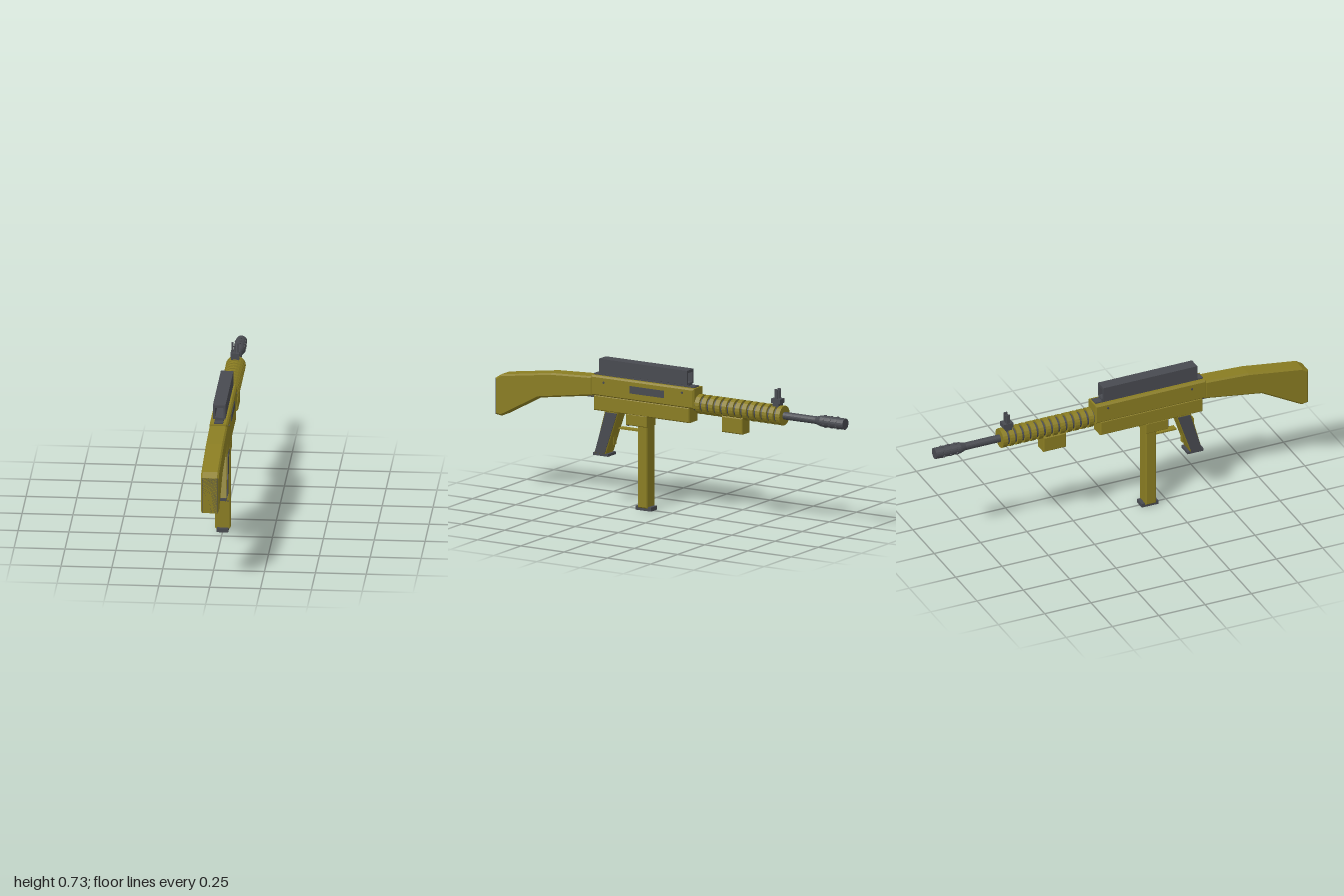
import * as THREE from 'three';

export function createModel() {
  const root = new THREE.Group();
  root.name = 'rifle';
  const olive = new THREE.MeshStandardMaterial({ color: 0x8a7d22, name: 'olive', flatShading: true });
  const steel = new THREE.MeshStandardMaterial({ color: 0x484a50, name: 'gunmetal', flatShading: true });

  function add(name, geometry, material, parent = root) {
    const mesh = new THREE.Mesh(geometry, material);
    mesh.name = name;
    parent.add(mesh);
    return mesh;
  }
  function group(name) {
    const g = new THREE.Group();
    g.name = name;
    root.add(g);
    return g;
  }
  // Box given by its limits on each axis
  function box(name, material, [x0, x1], [y0, y1], [z0, z1], parent) {
    const m = add(name, new THREE.BoxGeometry(x1 - x0, y1 - y0, z1 - z0), material, parent);
    m.position.set((x0 + x1) / 2, (y0 + y1) / 2, (z0 + z1) / 2);
    return m;
  }
  // Side profile in (z, y), extruded across x with chamfered edges
  function slab(name, material, points, halfWidth, bevel = 0.006, parent) {
    const shape = new THREE.Shape(points.map(([z, y]) => new THREE.Vector2(z, y)));
    const g = new THREE.ExtrudeGeometry(shape, {
      depth: 2 * (halfWidth - bevel), bevelEnabled: bevel > 0, bevelSize: bevel,
      bevelThickness: bevel, bevelOffset: -bevel, bevelSegments: 1,
    });
    g.translate(0, 0, -(halfWidth - bevel));
    g.rotateY(-Math.PI / 2);
    return add(name, g, material, parent);
  }
  const rect = (z0, z1, y0, y1) => [[z0, y0], [z1, y0], [z1, y1], [z0, y1]];
  // Round part along the bore, from z0 (rear) to z1 (muzzle side)
  const bore = 0.57;
  function round(name, material, z0, z1, r0, r1 = r0, parent) {
    const g = new THREE.CylinderGeometry(r0, r1, z0 - z1, 20);
    g.rotateX(Math.PI / 2);
    const m = add(name, g, material, parent);
    m.position.set(0, bore, (z0 + z1) / 2);
    return m;
  }

  // Stock and butt plate
  slab('stock', olive, [[1, 0.385], [1, 0.567], [0.967, 0.588], [0.677, 0.63], [0.44, 0.642],
    [0.44, 0.545], [0.75, 0.497], [0.965, 0.38]], 0.044, 0.008);
  box('buttPlate', steel, [-0.038, 0.038], [0.385, 0.566], [0.992, 1]);
  box('stockLatch', steel, [-0.025, 0.025], [0.535, 0.547], [0.42, 0.5]);

  // Receiver
  slab('upperReceiver', olive, rect(-0.15, 0.447, 0.548, 0.65), 0.045, 0.008);
  slab('lowerReceiver', olive, rect(-0.122, 0.43, 0.475, 0.552), 0.042, 0.005);
  slab('magazineWell', olive, rect(0.123, 0.245, 0.422, 0.48), 0.042, 0.004);
  box('ejectionPort', steel, [0.042, 0.047], [0.585, 0.622], [0.02, 0.22]);
  for (const side of [-1, 1]) {
    for (const [z, y] of [[0.37, 0.62], [-0.083, 0.625]]) {
      const pin = add('receiverPin', new THREE.CylinderGeometry(0.006, 0.006, 0.005, 8), steel);
      pin.rotation.z = Math.PI / 2;
      pin.position.set(side * 0.045, y, z);
    }
  }

  // Top rail with teeth, and the open channel above it
  const rail = group('topRail');
  box('railBase', steel, [-0.022, 0.022], [0.645, 0.656], [-0.14, 0.44], rail);
  for (let i = 0; i < 13; i++) {
    const z = -0.09 + i * 0.04;
    box('railTooth', steel, [-0.02, 0.02], [0.655, 0.667], [z - 0.014, z + 0.014], rail);
  }
  const channel = group('sightChannel');
  for (const side of [-1, 1]) {
    const x = side * 0.026;
    box('channelWall', steel, [x - 0.005, x + 0.005], [0.662, 0.734], [-0.102, 0.405], channel);
  }
  box('channelRoof', steel, [-0.031, 0.031], [0.72, 0.734], [-0.102, 0.405], channel);
  box('channelFloor', steel, [-0.022, 0.022], [0.662, 0.67], [-0.102, 0.405], channel);

  // Magazine
  slab('magazine', olive, rect(0.125, 0.18, 0.014, 0.43), 0.038, 0.005);
  box('magazineBase', steel, [-0.028, 0.028], [0, 0.02], [0.107, 0.197]);
  box('magazineHole', steel, [0.024, 0.028], [0.152, 0.162], [0.178, 0.182]);

  // Pistol grip with side panels
  slab('grip', olive, [[0.428, 0.258], [0.365, 0.258], [0.29, 0.48], [0.368, 0.48]], 0.039, 0.004);
  slab('gripPanels', steel, [[0.425, 0.262], [0.368, 0.262], [0.296, 0.472], [0.363, 0.472]], 0.042, 0);
  box('gripBase', steel, [-0.037, 0.037], [0.248, 0.261], [0.35, 0.437]);

  // Trigger and guard
  box('triggerGuard', olive, [-0.018, 0.018], [0.391, 0.398], [0.18, 0.3]);
  box('trigger', steel, [-0.006, 0.006], [0.41, 0.48], [0.25, 0.262]);
  box('gripFrontRib', olive, [-0.012, 0.012], [0.305, 0.39], [0.333, 0.337]);
  box('gripBackRib', olive, [-0.012, 0.012], [0.31, 0.43], [0.392, 0.396]);

  // Ringed handguard
  const handguard = group('handguard');
  round('handguardCore', steel, -0.14, -0.645, 0.038, 0.038, handguard);
  for (let i = 0; i < 13; i++) {
    const z = -0.157 - i * 0.0388;
    round('handguardRing', olive, z, z - 0.025, 0.049, 0.049, handguard);
  }
  slab('underBlock', olive, rect(-0.426, -0.305, 0.453, 0.535), 0.037, 0.005);

  // Barrel and muzzle brake
  round('barrel', steel, -0.63, -0.86, 0.019);
  const brake = group('muzzleBrake');
  round('brakeTaper', steel, -0.835, -0.865, 0.019, 0.028, brake);
  round('brakeBody', steel, -0.865, -1, 0.028, 0.028, brake);
  for (let row = 0; row < 3; row++) {
    for (let k = 0; k < 6; k++) {
      const a = (k / 6) * Math.PI * 2;
      const nub = add('brakeNub', new THREE.CylinderGeometry(0.007, 0.007, 0.008, 8), steel, brake);
      nub.rotation.z = -a;
      nub.position.set(Math.sin(a) * 0.027, bore + Math.cos(a) * 0.027, -0.885 - row * 0.036);
    }
  }

  // Front sight with three prongs
  const sight = group('frontSight');
  box('sightFoot', steel, [-0.02, 0.02], [0.61, 0.635], [-0.625, -0.59], sight);
  box('sightBase', steel, [-0.022, 0.022], [0.63, 0.652], [-0.635, -0.582], sight);
  for (const x of [-0.014, 0, 0.014]) {
    box('sightProng', steel, [x - 0.004, x + 0.004], [0.65, x ? 0.7 : 0.693], [-0.617, -0.6], sight);
  }
  return root;
}
